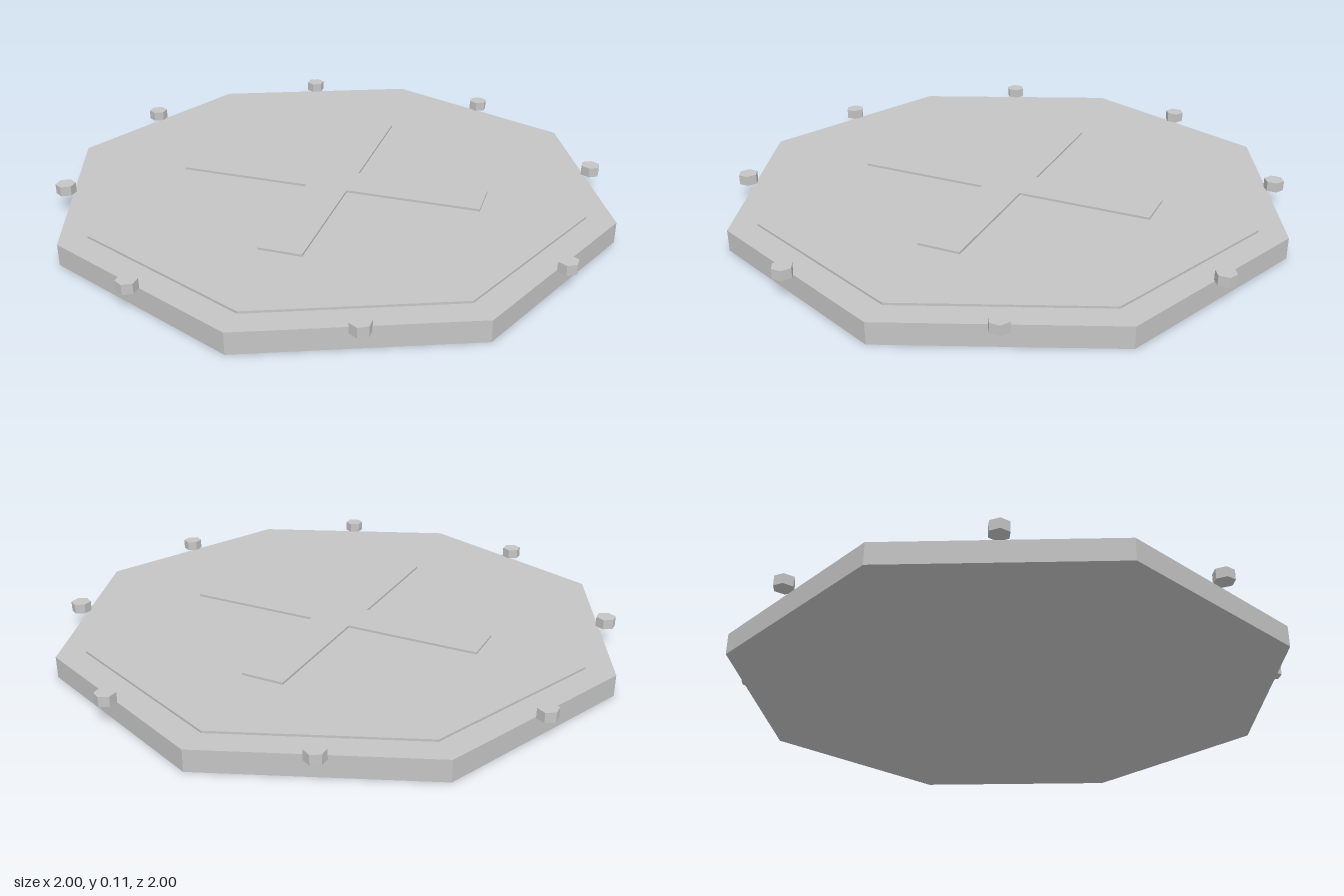
import * as THREE from 'three';

export function createModel() {
  const model = new THREE.Group();
  model.name = 'octagonalHatch';
  const grey = new THREE.MeshStandardMaterial({ color: 0xc4c4c4, flatShading: true });
  grey.name = 'grey metal';

  // Upright prism standing between two heights
  function prism(name, radius, sides, bottom, top, x = 0, z = 0) {
    const geometry = new THREE.CylinderGeometry(radius, radius, top - bottom, sides);
    const mesh = new THREE.Mesh(geometry, grey);
    mesh.name = name;
    mesh.position.set(x, (bottom + top) / 2, z);
    model.add(mesh);
  }

  // Octagonal slab with a thin raised panel
  prism('base', 1, 8, 0, 0.075);
  prism('raisedPanel', 0.9, 8, 0.075, 0.083);

  // Raised cross: one arm outline turned through four quarters
  const reach = 0.55, half = 0.075;
  const corners = [];
  for (let i = 0; i < 4; i++) {
    for (const [x, y] of [[reach, -half], [reach, half], [half, half]]) {
      corners.push(new THREE.Vector2(x, y).rotateAround(new THREE.Vector2(), i * Math.PI / 2));
    }
  }
  const crossGeometry = new THREE.ExtrudeGeometry(new THREE.Shape(corners), { depth: 0.008, bevelEnabled: false });
  crossGeometry.rotateX(-Math.PI / 2);
  const cross = new THREE.Mesh(crossGeometry, grey);
  cross.name = 'raisedCross';
  cross.position.y = 0.083;
  model.add(cross);

  // Hexagonal bolts at the middle of each edge
  for (let i = 0; i < 8; i++) {
    const angle = (i + 0.5) * Math.PI / 4;
    prism('bolt' + (i + 1), 0.035, 6, 0.075, 0.11, 0.95 * Math.sin(angle), 0.95 * Math.cos(angle));
  }
  return model;
}
